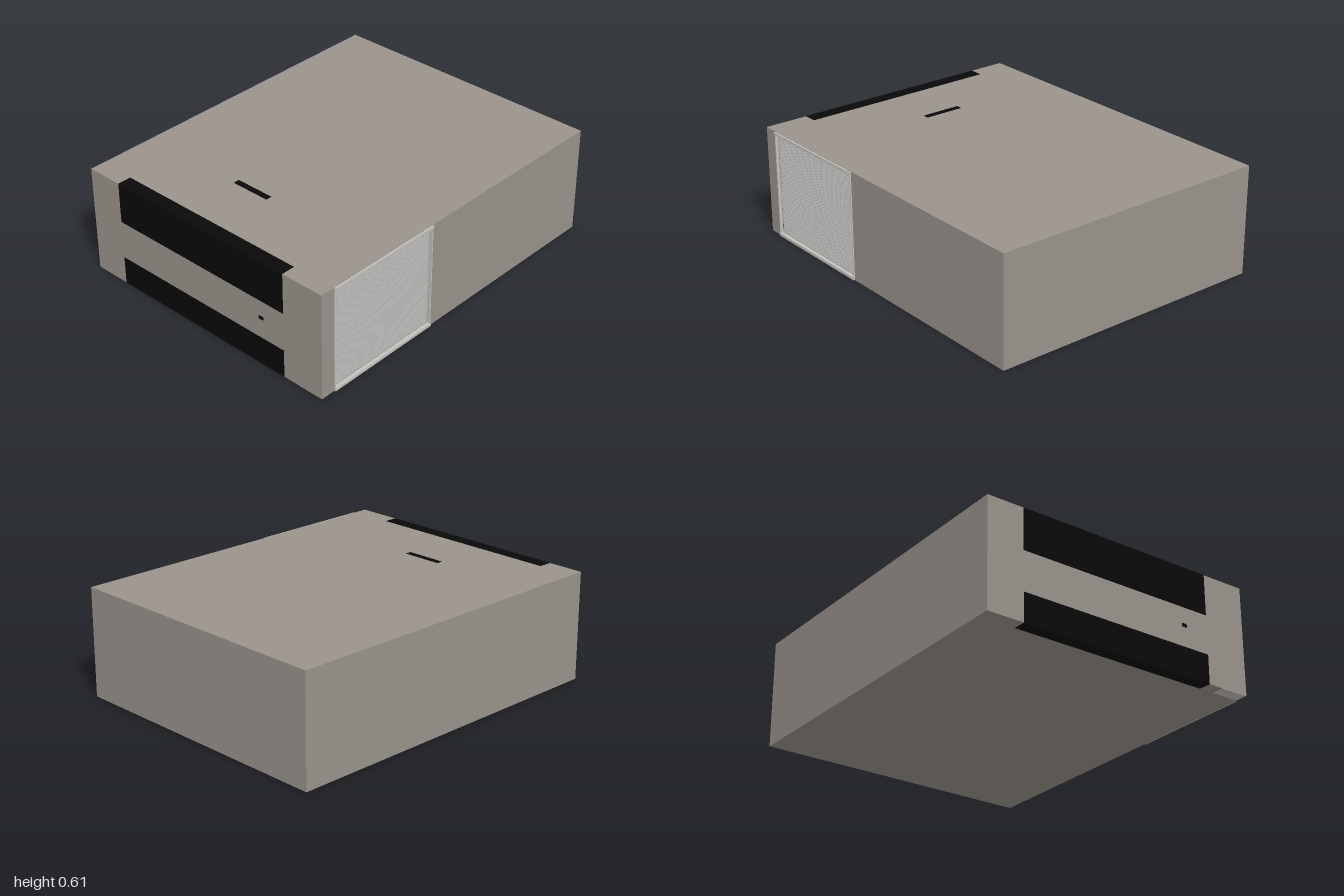
import * as THREE from 'three';

const mat = (name, color) => {
  const m = new THREE.MeshStandardMaterial({ color });
  m.name = name;
  return m;
};

export function createModel() {
  const root = new THREE.Group();
  const wall = mat('warm grey wall', 0x9a938c);
  const black = mat('black', 0x090909);
  const light = mat('light frame', 0xc2c1be);
  const slatMat = mat('slat grey', 0xa3a3a1);
  const cabinetMat = mat('cabinet grey', 0x8c8b88);
  const chairMat = mat('chair white', 0xc9c8c5);
  const dark = mat('dark metal', 0x3a3a3a);
  const green = mat('plant', 0x56604c);

  // Box given by its minimum and maximum along each axis
  function box(name, m, x0, x1, y0, y1, z0, z1, parent = root) {
    const mesh = new THREE.Mesh(new THREE.BoxGeometry(x1 - x0, y1 - y0, z1 - z0), m);
    mesh.position.set((x0 + x1) / 2, (y0 + y1) / 2, (z0 + z1) / 2);
    mesh.name = name;
    parent.add(mesh);
    return mesh;
  }

  // Straight round bar between two points
  function bar(name, m, a, b, r0, r1, parent) {
    const p = new THREE.Vector3(...a), q = new THREE.Vector3(...b);
    const d = q.clone().sub(p);
    const mesh = new THREE.Mesh(new THREE.CylinderGeometry(r1, r0, d.length(), 8), m);
    mesh.position.copy(p).addScaledVector(d, 0.5);
    mesh.quaternion.setFromUnitVectors(new THREE.Vector3(0, 1, 0), d.normalize());
    mesh.name = name;
    parent.add(mesh);
  }

  // Room shell with a wide opening in the front wall
  const H = 0.61, T = 0.01, ZB = -0.81, ZF = 0.8, L = -0.915, R = -0.212;
  box('floor', wall, -1, 1, 0, T, ZB, ZF);
  box('roof', wall, -1, 1, H - T, H, ZB, ZF);
  box('backWall', wall, -1, 1, T, H - T, ZB, ZB + T);
  box('rightWall', wall, -1, -1 + T, T, H - T, ZB + T, ZF);
  box('leftWall', wall, 1 - T, 1, T, H - T, ZB + T, ZF);
  box('frontWallNarrow', wall, -1 + T, L, T, H - T, ZF - T, ZF);
  box('frontWallWide', wall, R, 1 - T, T, H - T, ZF - T, ZF);

  // Window frame
  box('frameHead', light, L, R, 0.594, 0.608, 0.79, 0.81);
  box('frameSill', light, L, R, 0.002, 0.018, 0.79, 0.81);
  box('frameSide', light, L, L + 0.006, 0.018, 0.594, 0.79, 0.806);
  box('frameSide', light, R - 0.006, R, 0.018, 0.594, 0.79, 0.806);

  // Horizontal blind slats
  const blind = new THREE.Group();
  blind.name = 'blind';
  root.add(blind);
  const count = 40;
  for (let i = 0; i < count; i++) {
    const y = 0.026 + (i * 0.562) / (count - 1);
    const slat = box('slat', slatMat, L + 0.006, R - 0.006, y - 0.0008, y + 0.0008, 0.776, 0.79, blind);
    slat.rotation.x = 0.45;
  }

  // Cabinets along the right wall
  box('lowerCabinet', cabinetMat, -0.99, -0.885, 0.01, 0.155, -0.6, 0.55);
  box('counterTop', light, -0.99, -0.875, 0.155, 0.168, -0.6, 0.555);
  box('upperCabinet', cabinetMat, -0.99, -0.92, 0.38, 0.6, -0.6, 0.55);
  for (let i = 0; i < 8; i++) {
    const z = -0.595 + i * 0.1435;
    box('lowerDoor', light, -0.885, -0.882, 0.03, 0.148, z, z + 0.134);
    box('upperDoor', light, -0.92, -0.917, 0.388, 0.594, z, z + 0.134);
  }

  // Black panels where fittings meet the outside of the shell
  const e = 0.001;
  box('upperSidePanel', black, -1 - e, -1 + e, 0.38, H, -0.6, 0.55);
  box('lowerSidePanel', black, -1 - e, -1 + e, 0, 0.16, -0.6, 0.55);
  box('roofPanel', black, -1, -0.922, H - e, H + e, -0.6, 0.55);
  box('floorPanel', black, -1, -0.93, -e, e, -0.6, 0.55);
  box('floorPatch', light, -1, -0.93, -e, e, 0.64, 0.79);
  box('roofSlot', black, -0.6, -0.565, H - e, H + e, -0.18, 0.05);
  box('wallOutlet', black, -1 - e, -1 + e, 0.27, 0.29, 0.385, 0.415);

  // Pendant lamps on a ceiling rail
  const lamps = new THREE.Group();
  lamps.name = 'pendantLamps';
  root.add(lamps);
  box('lampRail', dark, -0.598, -0.567, 0.59, 0.6, -0.18, 0.05, lamps);
  for (const z of [-0.15, -0.065, 0.02]) {
    bar('lampCord', dark, [-0.582, 0.4, z], [-0.582, 0.59, z], 0.002, 0.002, lamps);
    bar('lampShade', dark, [-0.582, 0.32, z], [-0.582, 0.405, z], 0.013, 0.004, lamps);
  }

  // Chair with splayed legs, facing +z before turning
  function chair(x, z, turn) {
    const g = new THREE.Group();
    g.name = 'chair';
    box('seat', chairMat, -0.05, 0.05, 0.1, 0.112, -0.05, 0.055, g);
    const back = box('chairBack', chairMat, -0.045, 0.045, 0.112, 0.2, -0.058, -0.049, g);
    back.rotation.x = -0.12;
    for (const sx of [-1, 1]) for (const sz of [-1, 1]) {
      bar('chairLeg', dark, [sx * 0.055, 0, sz * 0.05], [sx * 0.033, 0.1, sz * 0.033], 0.003, 0.005, g);
    }
    g.position.set(x, 0.01, z);
    g.rotation.y = turn;
    root.add(g);
  }
  chair(-0.65, 0.1, Math.PI / 2);
  chair(-0.39, 0.45, Math.PI);
  chair(-0.39, -0.3, 0);
  chair(-0.92, 0.7, Math.PI / 2);

  // Dining table with a vase
  box('tableTop', cabinetMat, -0.53, -0.2, 0.147, 0.158, -0.2, 0.38);
  for (const z of [-0.14, 0.3]) box('tableLeg', dark, -0.35, -0.31, 0.01, 0.147, z, z + 0.03);
  const vase = new THREE.Mesh(new THREE.LatheGeometry(
    [[0, 0], [0.012, 0], [0.017, 0.02], [0.008, 0.045]].map(p => new THREE.Vector2(...p)), 12), chairMat);
  vase.material.side = THREE.DoubleSide;
  vase.position.set(-0.44, 0.158, 0.1);
  vase.name = 'vase';
  root.add(vase);
  for (let i = 0; i < 5; i++) {
    const a = i * 1.257;
    bar('plantStem', green, [-0.44, 0.19, 0.1],
      [-0.44 + 0.022 * Math.cos(a), 0.25, 0.1 + 0.022 * Math.sin(a)], 0.002, 0.005, root);
  }

  // Shelf on the back wall
  box('shelf', dark, -0.81, -0.67, 0.348, 0.354, -0.8, -0.74);

  return root;
}
